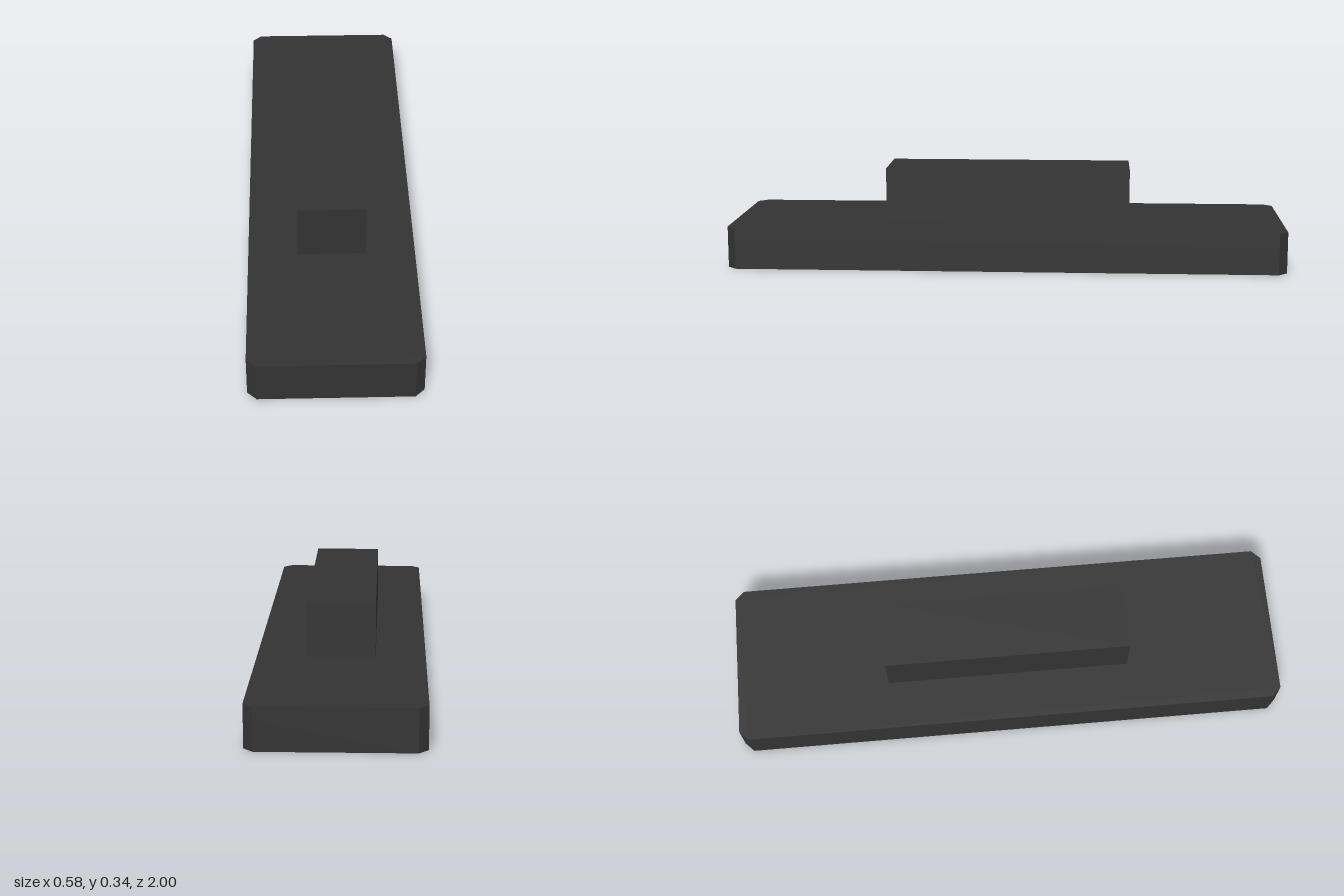
import * as THREE from 'three';

const W = 0.292, L = 1, H = 0.148, C = 0.032;   // half width, half length, height, corner cut
const IN_W = 0.21, IN_L = 0.92, ROOF = 0.105;   // bottom opening and depth of the recess

// Outline of the tray with cut corners
function outline() {
  const s = new THREE.Shape();
  s.setFromPoints([
    [-W + C, -L], [W - C, -L], [W, -L + C], [W, L - C],
    [W - C, L], [-W + C, L], [-W, L - C], [-W, -L + C],
  ].map(([x, y]) => new THREE.Vector2(x, y)));
  return s;
}

// Extrudes a plan shape upwards from y0 to y1
function slab(shape, y0, y1) {
  const g = new THREE.ExtrudeGeometry(shape, { depth: y1 - y0, bevelEnabled: false });
  return g.rotateX(-Math.PI / 2).translate(0, y0, 0);
}

export function createModel() {
  const model = new THREE.Group();
  const dark = new THREE.MeshStandardMaterial({ color: 0x333333, flatShading: true });
  const white = new THREE.MeshStandardMaterial({ color: 0xffffff, flatShading: true });
  const add = (name, geometry, material) => {
    const mesh = new THREE.Mesh(geometry, material);
    mesh.name = name;
    model.add(mesh);
    return mesh;
  };

  // Housing: open rim below, closed plate above
  const rim = outline();
  rim.holes.push(new THREE.Path([
    [-IN_W, -IN_L], [-IN_W, IN_L], [IN_W, IN_L], [IN_W, -IN_L],
  ].map(([x, y]) => new THREE.Vector2(x, y))));
  add('housingRim', slab(rim, 0, ROOF), dark);
  add('housingTop', slab(outline(), ROOF, H), dark);

  // Ballast box on top
  add('ballastBox', new THREE.BoxGeometry(0.238, 0.342 - H, 0.886).translate(0, (0.342 + H) / 2, 0), dark);

  // Three lamp tubes in the recess
  for (const i of [-1, 0, 1]) {
    const tube = new THREE.CylinderGeometry(0.036, 0.036, IN_L * 2 - 0.01, 8).rotateX(Math.PI / 2);
    add('lampTube', tube, white).position.set(i * 0.14, 0.05, 0);
  }
  return model;
}
